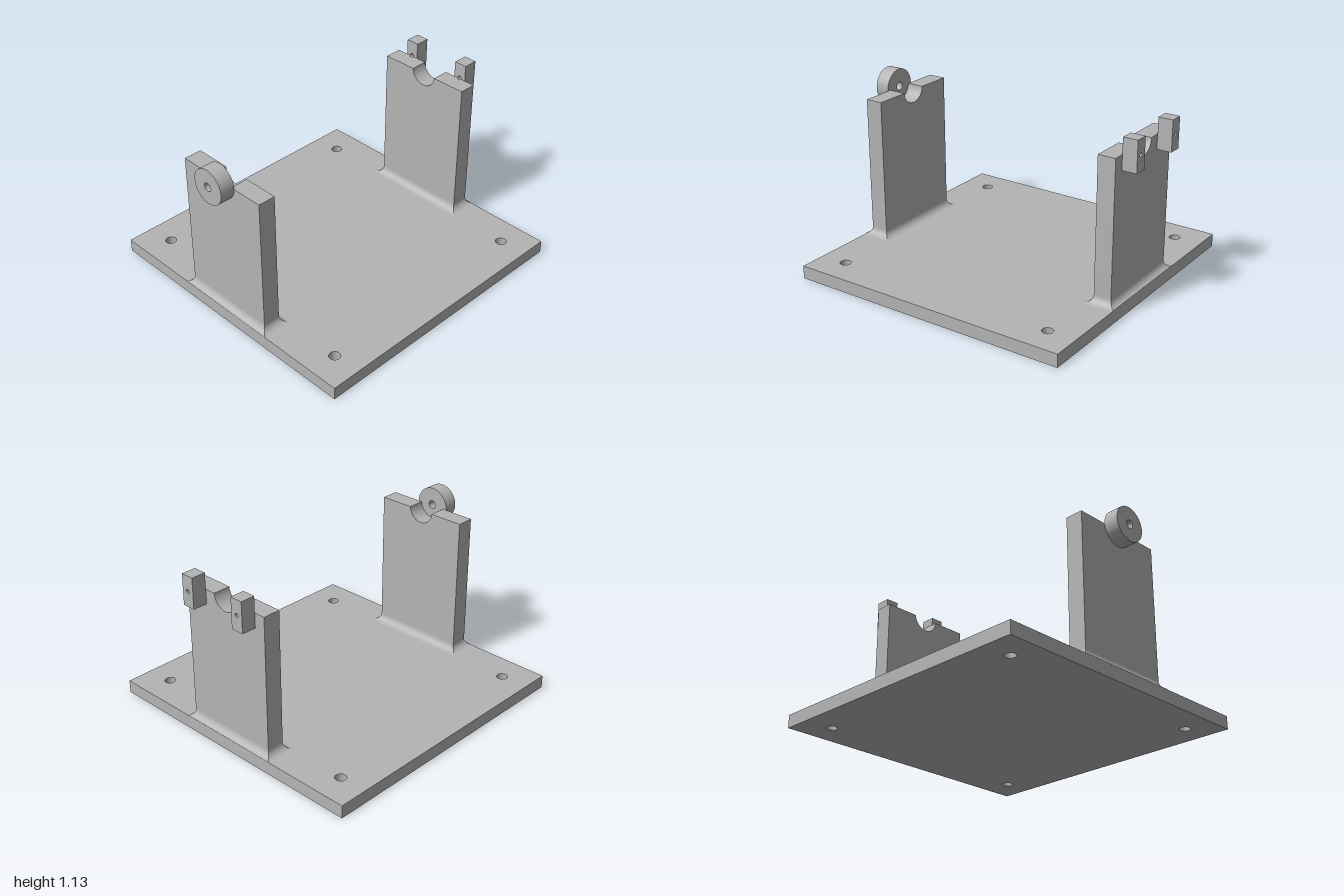
import * as THREE from 'three';
import { toCreasedNormals } from 'three/addons/utils/BufferGeometryUtils.js';

const BASE_TOP = 0.085, WALL_TOP = 1.01, AXIS = 1.015;
const WALL_X = 0.32, WALL_IN = 0.79, WALL_OUT = 0.905, EDGE = 0.94;
const FILLET = 0.05, PIN_X = 0.204, PIN_R = 0.013;

const grey = new THREE.MeshStandardMaterial({ color: 0xb4b4b4 });
grey.name = 'grey';

function extrude(shape, depth) {
  const g = new THREE.ExtrudeGeometry(shape, { depth, bevelEnabled: false, curveSegments: 24 });
  return toCreasedNormals(g, 0.6);
}

function add(parent, name, geometry, x = 0, y = 0, z = 0) {
  const mesh = new THREE.Mesh(geometry, grey);
  mesh.name = name;
  mesh.position.set(x, y, z);
  parent.add(mesh);
  return mesh;
}

function rectangle(x0, y0, x1, y1) {
  return new THREE.Shape([[x0, y0], [x1, y0], [x1, y1], [x0, y1]].map(p => new THREE.Vector2(...p)));
}

function addHole(shape, x, y, r) {
  shape.holes.push(new THREE.Path().absarc(x, y, r, 0, Math.PI * 2, true));
  return shape;
}

// Wall outline whose top edge is cut by round notches, listed from right to left
function wallShape(notches) {
  const s = new THREE.Shape();
  s.moveTo(-WALL_X, BASE_TOP);
  s.lineTo(WALL_X, BASE_TOP);
  s.lineTo(WALL_X, WALL_TOP);
  for (const [x, r] of notches) {
    const a = Math.asin((WALL_TOP - AXIS) / r);
    s.absarc(x, AXIS, r, a, -Math.PI - a, true);
  }
  s.lineTo(-WALL_X, WALL_TOP);
  return s;
}

// Concave fillet around the foot of a wall, with mitred corners, cut off at the plate edge
function filletGeometry() {
  const steps = 10, pos = [], index = [];
  const ring = i => {
    const a = (i / steps) * Math.PI / 2;
    const d = FILLET * (1 - Math.cos(a));
    const y = BASE_TOP + FILLET * (1 - Math.sin(a));
    const x = WALL_X + d, z0 = WALL_IN - d;
    const z1 = Math.min(WALL_OUT + d, EDGE);
    return [[-x, y, z1], [x, y, z1], [x, y, z0], [-x, y, z0]];
  };
  for (let side = 0; side < 4; side++) {
    const start = pos.length / 3;
    for (let i = 0; i <= steps; i++) {
      const r = ring(steps - i); // from the plate up to the wall
      pos.push(...r[side], ...r[(side + 1) % 4]);
      if (i < steps) {
        const k = start + i * 2;
        index.push(k, k + 1, k + 3, k, k + 3, k + 2);
      }
    }
  }
  const g = new THREE.BufferGeometry();
  g.setAttribute('position', new THREE.Float32BufferAttribute(pos, 3));
  g.setIndex(index);
  g.computeVertexNormals();
  return g;
}

export function createModel() {
  const model = new THREE.Group();
  model.name = 'bracketStand';

  // Base plate with four screw holes
  const plate = rectangle(-EDGE, -EDGE, EDGE, EDGE);
  for (const x of [-0.755, 0.755]) for (const y of [-0.755, 0.755]) addHole(plate, x, y, 0.035);
  add(model, 'basePlate', extrude(plate, BASE_TOP).rotateX(-Math.PI / 2));

  // Front upright with round cradle
  const front = new THREE.Group();
  front.name = 'frontSupport';
  const cradle = [0, 0.09];
  add(front, 'frontUpright', extrude(wallShape([cradle]), WALL_OUT - WALL_IN), 0, 0, WALL_IN);
  add(front, 'frontFillet', filletGeometry());

  // Bearing disc with a centre bore
  const disc = addHole(new THREE.Shape().absarc(0, 0, 0.115, 0, Math.PI * 2), 0, 0, 0.027);
  add(front, 'bearingDisc', extrude(disc, 1 - WALL_OUT), 0, AXIS, WALL_OUT);
  model.add(front);

  // Rear upright, whose back skin is grooved by the pin holes
  const rear = new THREE.Group();
  rear.name = 'rearSupport';
  const skin = 0.012;
  add(rear, 'rearUpright', extrude(wallShape([cradle]), WALL_OUT - WALL_IN - skin), 0, 0, skin - WALL_OUT);
  const grooves = [[PIN_X, PIN_R], cradle, [-PIN_X, PIN_R]];
  add(rear, 'rearUprightSkin', extrude(wallShape(grooves), skin), 0, 0, -WALL_OUT);
  add(rear, 'rearFillet', filletGeometry()).rotation.y = Math.PI;

  // Pair of lugs with pin holes
  for (const side of [-1, 1]) {
    const lug = addHole(rectangle(-0.043, -0.1, 0.043, 0.1), 0, 0, PIN_R);
    add(rear, side > 0 ? 'leftLug' : 'rightLug', extrude(lug, 1 - WALL_OUT), side * PIN_X, AXIS, -1);
  }
  model.add(rear);
  return model;
}
